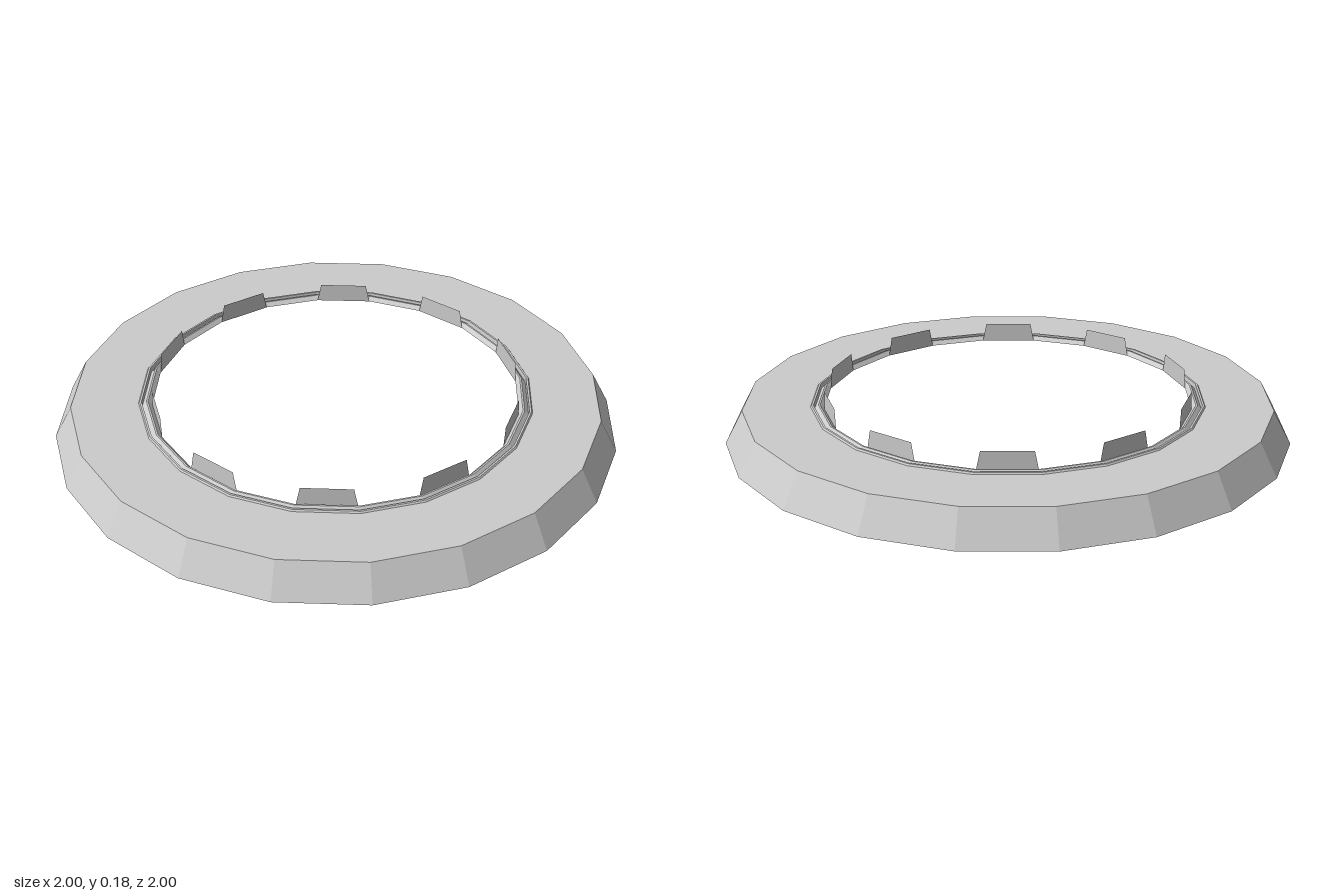
import * as THREE from 'three';

const SIDES = 20;
const material = new THREE.MeshStandardMaterial({
  color: 0xcccccc, flatShading: true, side: THREE.DoubleSide,
});

// Open 20-sided shell; profile distances are measured to the flats, which face the axes
function ring(name, profile) {
  const scale = 1 / Math.cos(Math.PI / SIDES);
  const points = profile.map(([r, y]) => new THREE.Vector2(r * scale, y));
  const mesh = new THREE.Mesh(
    new THREE.LatheGeometry(points, SIDES, Math.PI / SIDES), material);
  mesh.name = name;
  return mesh;
}

export function createModel() {
  const model = new THREE.Group();
  model.name = 'collarRing';

  // Sloped skirt and flat top plate, hollow underneath
  model.add(ring('skirtAndPlate', [[1, 0], [0.937, 0.12], [0.7, 0.12]]));

  // Raised bead, shallow groove and inner ridge around the opening
  model.add(ring('innerLip', [
    [0.7, 0.12], [0.696, 0.126], [0.689, 0.126], [0.687, 0.108],
    [0.672, 0.125], [0.666, 0.125], [0.652, 0.11],
  ]));

  // Thin tapered tabs on every second flat
  const outline = new THREE.Shape([
    [-0.102, 0.11], [0.102, 0.11], [0.088, 0.18], [-0.088, 0.18],
  ].map(([x, y]) => new THREE.Vector2(x, y)));
  const tabGeometry = new THREE.ShapeGeometry(outline).translate(0, 0, 0.652);
  const tabs = new THREE.Group();
  tabs.name = 'tabs';
  for (let i = 0; i < SIDES / 2; i++) {
    const tab = new THREE.Mesh(tabGeometry, material);
    tab.name = 'tab';
    tab.rotation.y = (i * 4 * Math.PI) / SIDES;
    tabs.add(tab);
  }
  model.add(tabs);

  return model;
}
